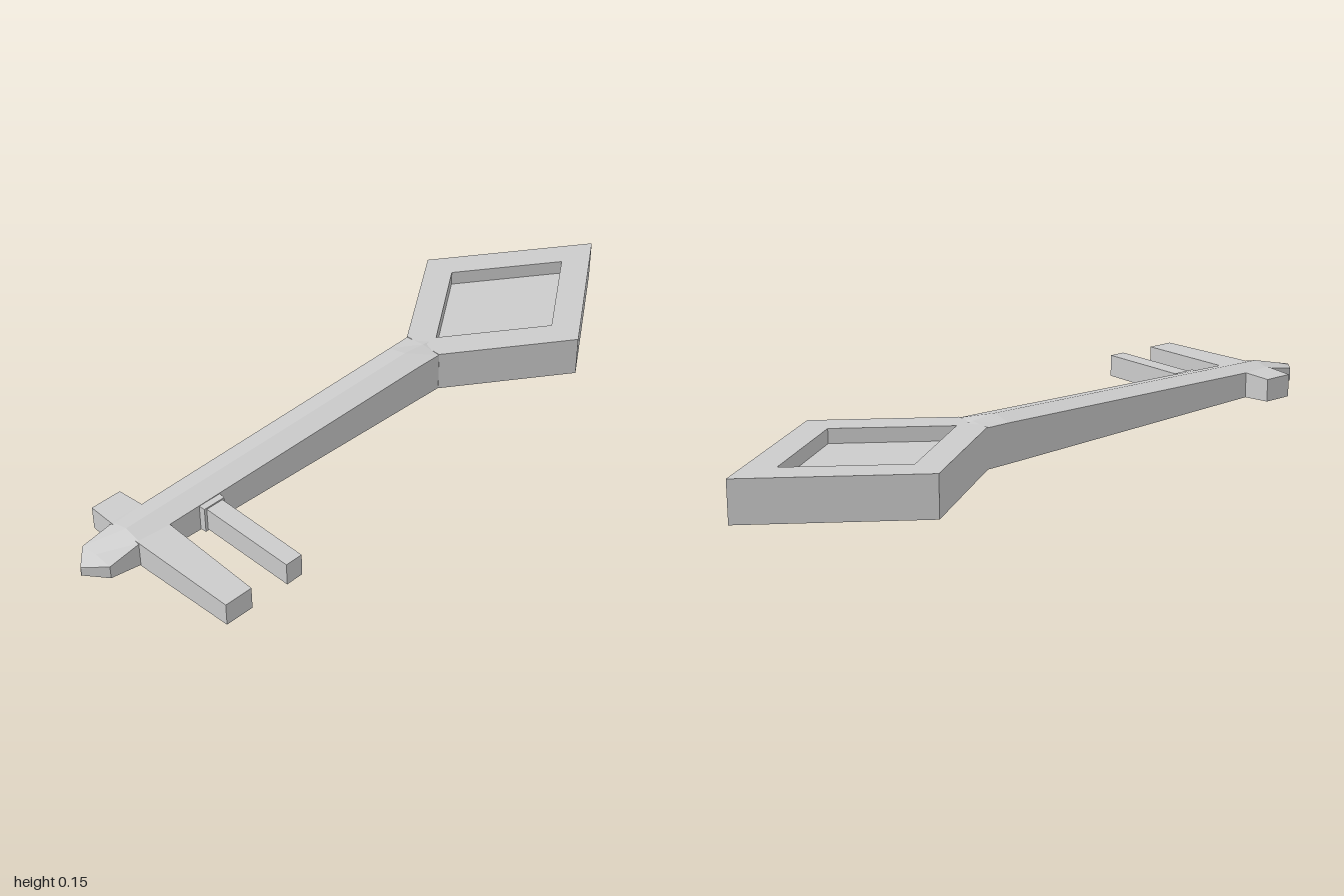
import * as THREE from 'three';

const CY = 0.077, CZ = -0.038; // centre line of the key

const material = new THREE.MeshStandardMaterial({
  color: 0xcccccc, flatShading: true,
});

// Skin a list of equal-length rings (counter-clockwise about the direction of travel) and cap both ends.
function loft(name, rings) {
  const n = rings[0].length, index = [];
  for (let r = 0; r < rings.length - 1; r++) {
    for (let i = 0; i < n; i++) {
      const j = (i + 1) % n, a = r * n, b = a + n;
      index.push(a + i, a + j, b + j, a + i, b + j, b + i);
    }
  }
  const last = (rings.length - 1) * n;
  for (let i = 1; i < n - 1; i++) {
    index.push(0, i + 1, i, last, last + i, last + i + 1);
  }
  const indexed = new THREE.BufferGeometry();
  indexed.setAttribute('position', new THREE.Float32BufferAttribute(rings.flat(2), 3));
  indexed.setIndex(index);
  const geometry = indexed.toNonIndexed();
  geometry.computeVertexNormals();
  const mesh = new THREE.Mesh(geometry, material);
  mesh.name = name;
  return mesh;
}

// Six-sided shaft section: flat sides with a ridge above and below.
function shaftRing([x, halfZ, side, ridgeTop, ridgeBottom]) {
  return [
    [x, CY - side, CZ - halfZ], [x, CY + side, CZ - halfZ],
    [x, CY + ridgeTop, CZ],
    [x, CY + side, CZ + halfZ], [x, CY - side, CZ + halfZ],
    [x, CY - ridgeBottom, CZ],
  ];
}

// Rectangular bar running along z, sections given as [z, halfX, halfY].
function bar(name, x, sections) {
  return loft(name, sections.map(([z, hx, hy]) => [
    [x - hx, CY - hy, z], [x + hx, CY - hy, z],
    [x + hx, CY + hy, z], [x - hx, CY + hy, z],
  ]));
}

const points = (list) => list.map(([x, y]) => new THREE.Vector2(x, y));

// Extrude a plan outline upwards, centred on the key's mid-height.
function plate(name, shape, height) {
  const geometry = new THREE.ExtrudeGeometry(shape, { depth: height, bevelEnabled: false });
  geometry.translate(0, 0, -height / 2);
  geometry.rotateX(-Math.PI / 2);
  const mesh = new THREE.Mesh(geometry, material);
  mesh.name = name;
  mesh.position.set(0.575, CY + 0.001, CZ);
  return mesh;
}

export function createModel() {
  const key = new THREE.Group();
  key.name = 'key';

  // Diamond head, cut off where it meets the shaft, with a recess in both faces
  const outer = points([[0.425, 0], [0, 0.297], [-0.335, 0.063], [-0.335, -0.063], [0, -0.297]]);
  const inner = points([[0.28, 0], [0, 0.197], [-0.28, 0], [0, -0.197]]);
  const frame = new THREE.Shape(outer);
  frame.holes.push(new THREE.Path(inner));
  key.add(plate('headFrame', frame, 0.12));
  key.add(plate('headPanel', new THREE.Shape(inner), 0.036));

  // Tapering shaft with pointed tip; the ridges run out on the head
  key.add(loft('shaft', [
    [-1, 0.001, 0.012, 0.014, 0.014],
    [-0.95, 0.055, 0.019, 0.026, 0.026],
    [-0.85, 0.0555, 0.036, 0.05, 0.05],
    [0.165, 0.061, 0.058, 0.072, 0.077],
    [0.24, 0.0625, 0.0585, 0.064, 0.067],
    [0.29, 0.02, 0.05, 0.058, 0.058],
  ].map(shaftRing)));

  // Wide tooth passing through the shaft
  key.add(bar('crossTooth', -0.805, [
    [-0.178, 0.046, 0.034], [CZ - 0.055, 0.051, 0.038],
    [CZ + 0.055, 0.051, 0.038], [0.335, 0.042, 0.033],
  ]));

  // Narrow tooth with its collar
  key.add(bar('smallTooth', -0.62, [[0, 0.027, 0.034], [0.335, 0.026, 0.033]]));
  key.add(bar('smallToothCollar', -0.621, [[0, 0.036, 0.04], [0.037, 0.034, 0.038]]));

  return key;
}
